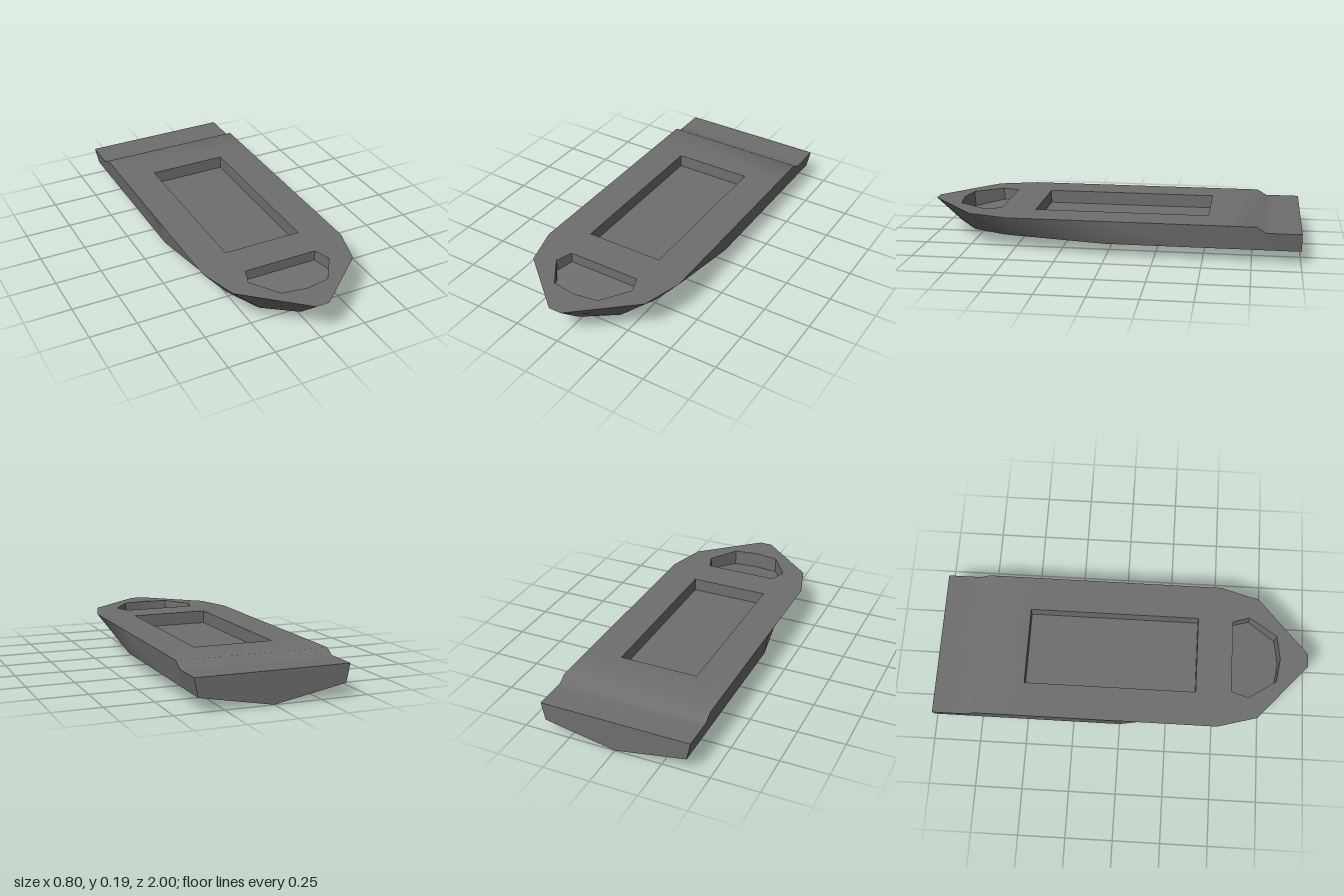
import * as THREE from 'three';
import { mergeGeometries, toCreasedNormals } from 'three/addons/utils/BufferGeometryUtils.js';

const DECK_Y = 0.195;
const STERN_Y = 0.165;
const material = new THREE.MeshStandardMaterial({ color: 0x6f6f6f });

// Straight part of the hull: deck height y at distance z
const straight = (y, z) => ({ deck: [0.4, y, z], chine: [0.38, 0.07, z], keel: [0, 0, z] });

// Stations from stern to bow: left-hand points [x, y, z] of deck edge, chine and keel
const stations = [
  straight(STERN_Y, -1),
  straight(STERN_Y, -0.86),
  straight(STERN_Y, -0.82),
  straight(DECK_Y, -0.77),
  straight(DECK_Y, -0.56),
  straight(DECK_Y, 0),
  { deck: [0.4, DECK_Y, 0.52], chine: [0.285, 0.07, 0.55], keel: [0, 0, 0.55] },
  { deck: [0.34, DECK_Y, 0.73], chine: [0.2, 0.07, 0.74], keel: [0, 0, 0.73] },
  { deck: [0.035, DECK_Y, 1], chine: [0.035, 0.07, 0.86], keel: [0, 0, 0.73] },
];
const MAIN_DECK = 4; // station where the flat main deck with its wells begins

// Well outlines [x, z], counter-clockwise seen from above
const holdOutline = [[-0.215, -0.52], [-0.215, 0.4], [0.21, 0.4], [0.21, -0.52]];
const cockpitOutline = [
  [-0.2, 0.59], [-0.23, 0.68], [-0.13, 0.83], [0, 0.85], [0.13, 0.83], [0.23, 0.68], [0.2, 0.59],
];

const mirror = ([x, y, z]) => [-x, y, z];
const same = (a, b) => a.every((v, i) => v === b[i]);

// Convex polygons to a triangle geometry, dropping repeated corners
function fromPolygons(polygons) {
  const positions = [];
  for (const polygon of polygons) {
    const p = polygon.filter((v, i) => !same(v, polygon[(i + 1) % polygon.length]));
    for (let i = 1; i < p.length - 1; i++) positions.push(...p[0], ...p[i], ...p[i + 1]);
  }
  const g = new THREE.BufferGeometry();
  g.setAttribute('position', new THREE.Float32BufferAttribute(positions, 3));
  return g;
}

// Flat main deck with openings for the wells
function deckGeometry() {
  const toPoints = (pts) => pts.map(([x, z]) => new THREE.Vector2(x, -z));
  const side = stations.slice(MAIN_DECK).map(({ deck }) => [deck[0], deck[2]]);
  const otherSide = side.map(([x, z]) => [-x, z]);
  const shape = new THREE.Shape(toPoints([...otherSide, ...side.reverse()]));
  for (const outline of [holdOutline, cockpitOutline]) {
    shape.holes.push(new THREE.Path(toPoints(outline)));
  }
  const g = new THREE.ShapeGeometry(shape).toNonIndexed();
  g.rotateX(-Math.PI / 2).translate(0, DECK_Y, 0);
  g.deleteAttribute('uv');
  g.deleteAttribute('normal');
  return g;
}

// Sides, V bottom, lowered stern deck, transom and bow
function shellGeometry() {
  const polygons = [];
  for (let i = 0; i < stations.length - 1; i++) {
    const a = stations[i], b = stations[i + 1];
    const panels = [
      [a.chine, a.deck, b.deck, b.chine],
      [a.keel, a.chine, b.chine, b.keel],
    ];
    for (const p of panels) polygons.push(p, p.map(mirror).reverse());
    if (i < MAIN_DECK) polygons.push([mirror(a.deck), mirror(b.deck), b.deck, a.deck]);
  }
  const s = stations[0], f = stations[stations.length - 1];
  polygons.push([s.keel, mirror(s.chine), mirror(s.deck), s.deck, s.chine]);
  polygons.push([f.deck, mirror(f.deck), mirror(f.chine), f.chine]);
  polygons.push([mirror(f.chine), f.keel, f.chine]);
  return fromPolygons(polygons);
}

// Recess: inward walls and a floor whose points come from floorPoint(x, z)
function wellGeometry(outline, floorPoint) {
  const top = outline.map(([x, z]) => [x, DECK_Y, z]);
  const floor = outline.map(([x, z]) => floorPoint(x, z));
  const walls = top.map((p, i) => {
    const j = (i + 1) % top.length;
    return [p, top[j], floor[j], floor[i]];
  });
  return fromPolygons([...walls, floor]);
}

export function createModel() {
  const group = new THREE.Group();
  const add = (name, geometry) => {
    const mesh = new THREE.Mesh(toCreasedNormals(geometry, 0.6), material);
    mesh.name = name;
    group.add(mesh);
  };
  add('hull', mergeGeometries([shellGeometry(), deckGeometry()]));
  add('cargoWell', wellGeometry(holdOutline, (x, z) => [x, 0.125, z]));
  // Cockpit floor drops toward the bow and its front wall leans in slightly
  add('cockpitWell', wellGeometry(cockpitOutline, (x, z) => [
    x, 0.14 - (z - 0.59) * 0.12, z > 0.8 ? z - 0.005 : z,
  ]));
  return group;
}
